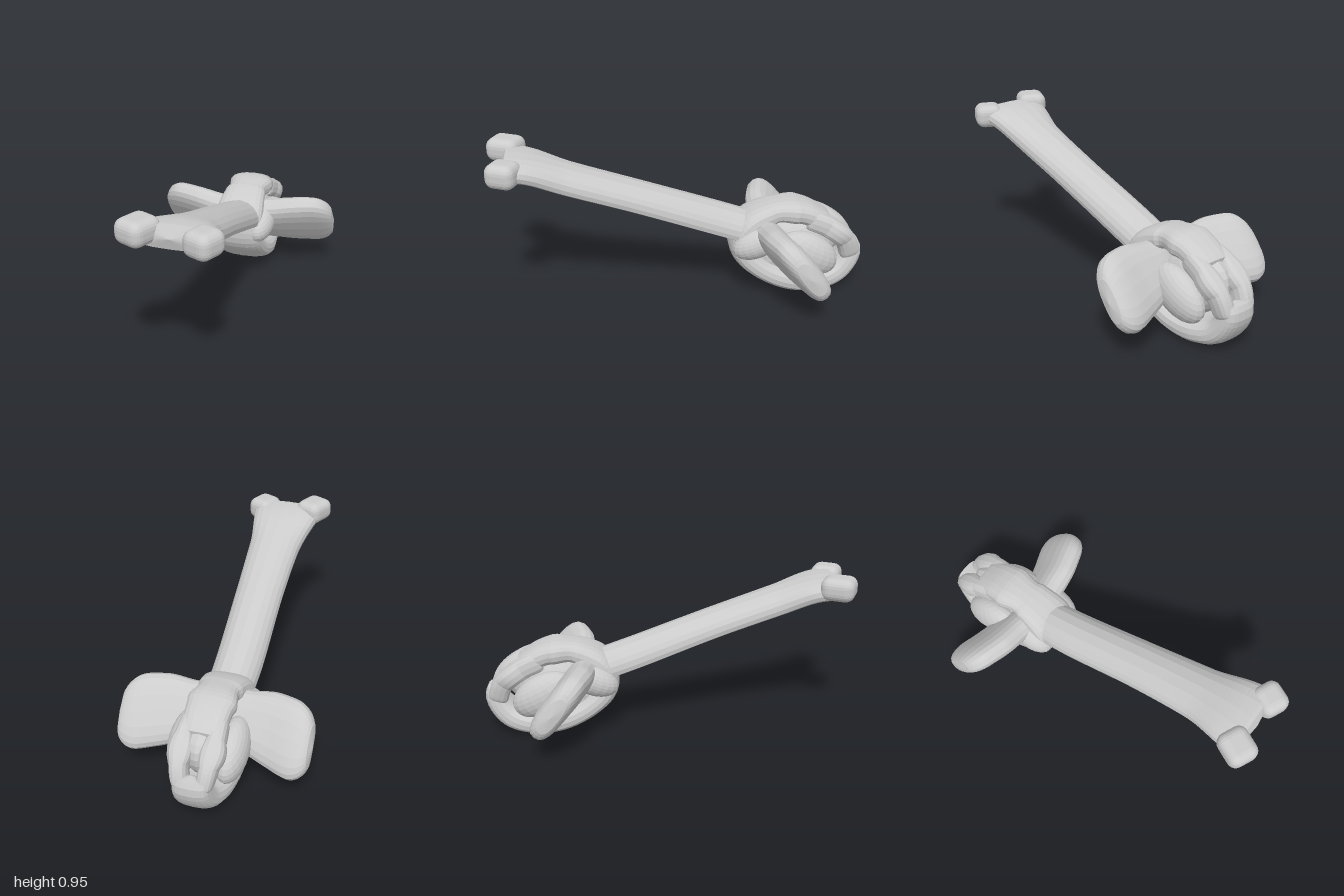
import * as THREE from 'three';
import { RoundedBoxGeometry } from 'three/addons/geometries/RoundedBoxGeometry.js';

const material = new THREE.MeshStandardMaterial({ color: 0xcccccc, flatShading: true });
const YAW = 0.436;

// Sweep a rounded, flattened section along a smooth path.
// Stations: [x, y, z, halfWidth, halfThickness, droop of the edges below the middle];
// side = direction of the width; round = length of the rounded ends.
function sweep(name, stations, side, round, steps = 48, around = 20) {
  const path = new THREE.CatmullRomCurve3(stations.map(s => new THREE.Vector3(s[0], s[1], s[2])));
  const sizes = new THREE.CatmullRomCurve3(stations.map(s => new THREE.Vector3(s[3], s[4], s[5] ?? 0)));
  const length = path.getLength();
  const positions = [], index = [];
  const power = (v, p) => Math.sign(v) * Math.pow(Math.abs(v), p);
  for (let i = 0; i <= steps; i++) {
    const u = i / steps;
    const t = path.getUtoTmapping(u);
    const centre = path.getPoint(t), size = sizes.getPoint(t);
    const normal = path.getTangent(t).cross(side).normalize();
    const q = Math.min(1, Math.min(u, 1 - u) * length / round);
    const end = Math.pow(Math.max(0, 1 - Math.pow(1 - q, 3)), 1 / 3);
    for (let j = 0; j < around; j++) {
      const a = j / around * Math.PI * 2;
      const c = power(Math.cos(a), 0.75), s = power(Math.sin(a), 0.75);
      const p = centre.clone()
        .addScaledVector(side, c * size.x * end)
        .addScaledVector(normal, (s * size.y + size.z * (0.4 - c * c)) * end);
      positions.push(p.x, p.y, p.z);
      if (i < steps) {
        const k = (j + 1) % around, r = i * around, n = r + around;
        index.push(r + j, r + k, n + k, r + j, n + k, n + j);
      }
    }
  }
  const geometry = new THREE.BufferGeometry();
  geometry.setAttribute('position', new THREE.Float32BufferAttribute(positions, 3));
  geometry.setIndex(index);
  geometry.computeVertexNormals();
  const mesh = new THREE.Mesh(geometry, material);
  mesh.name = name;
  return mesh;
}

function blob(name, position, scale, tilt = 0) {
  const mesh = new THREE.Mesh(new THREE.SphereGeometry(1, 20, 14), material);
  mesh.name = name;
  mesh.position.set(...position);
  mesh.scale.set(...scale);
  mesh.rotation.x = tilt;
  return mesh;
}

// Rounded block standing square to the model rather than to the blade
function corner(name, position, size) {
  const mesh = new THREE.Mesh(new RoundedBoxGeometry(...size, 3, 0.05), material);
  mesh.name = name;
  mesh.position.set(...position);
  mesh.rotation.y = -YAW;
  return mesh;
}

export function createModel() {
  const model = new THREE.Group();
  const bone = new THREE.Group();
  bone.name = 'bone';
  bone.position.set(-0.2, 0, -0.58);
  bone.rotation.y = YAW;
  model.add(bone);
  const across = new THREE.Vector3(1, 0, 0);

  // Long straight blade, ridged above, deepest at its root and flaring at its tip
  bone.add(sweep('blade', [
    [0.0, 0.39, 0.2, 0.13, 0.07, 0.05],
    [0.0, 0.47, 0.42, 0.135, 0.068, 0.05],
    [0.02, 0.64, 0.88, 0.14, 0.065, 0.04],
    [0.03, 0.77, 1.25, 0.155, 0.065, 0.03],
    [0.025, 0.845, 1.45, 0.195, 0.062, 0.01],
    [0.02, 0.865, 1.59, 0.22, 0.06, 0],
  ], across, 0.05, 64));

  // Squared corners of the tip, one a little higher and longer
  bone.add(corner('tipCornerRight', [-0.14, 0.885, 1.567], [0.17, 0.13, 0.19]));
  bone.add(corner('tipCornerLeft', [0.18, 0.86, 1.565], [0.16, 0.135, 0.17]));

  // Strap looping from the crown, round the front, under the belly and up the back
  bone.add(sweep('loop', [
    [0, 0.405, -0.235, 0.11, 0.06],
    [0, 0.49, -0.07, 0.125, 0.065],
    [0, 0.49, 0.1, 0.125, 0.065],
    [0, 0.41, 0.24, 0.145, 0.07],
    [0, 0.28, 0.27, 0.145, 0.065],
    [0, 0.17, 0.17, 0.155, 0.065],
    [0, 0.09, 0, 0.165, 0.07],
    [0, 0.07, -0.18, 0.15, 0.07],
    [0, 0.11, -0.31, 0.12, 0.07],
    [0, 0.22, -0.385, 0.1, 0.06],
    [0, 0.29, -0.37, 0.09, 0.055],
  ], across, 0.05, 64));

  // Inner core, set back from the sides of the loop
  bone.add(blob('core', [0, 0.27, -0.04], [0.125, 0.18, 0.3], 0.4));

  // Tilted, swept-back side plates, and the rails and swellings beside the loop
  const chord = new THREE.Vector3(0, 0.79, 0.61);
  for (const s of [1, -1]) {
    const hand = s > 0 ? 'left' : 'right';
    bone.add(sweep(hand + 'Wing', [
      [0, 0.33, 0.1, 0.15, 0.08],
      [0.17 * s, 0.33, 0.07, 0.17, 0.082],
      [0.3 * s, 0.33, 0.04, 0.2, 0.08],
      [0.42 * s, 0.325, 0.0, 0.21, 0.077],
      [0.54 * s, 0.32, -0.03, 0.19, 0.072],
    ], chord, 0.15, 44));
    // Rails either side of the opening at the back of the crown
    bone.add(sweep(hand + 'Rail', [
      [0.075 * s, 0.46, -0.1, 0.045, 0.06],
      [0.085 * s, 0.41, -0.22, 0.05, 0.06],
      [0.08 * s, 0.32, -0.33, 0.05, 0.06],
      [0.06 * s, 0.2, -0.375, 0.045, 0.06],
    ], across, 0.05, 28, 14));
    bone.add(blob(hand + 'Shoulder', [0.12 * s, 0.35, 0.19], [0.085, 0.09, 0.15], 0.4));
    bone.add(blob(hand + 'Flank', [0.13 * s, 0.27, -0.1], [0.09, 0.12, 0.19], -0.5));
  }
  return model;
}
